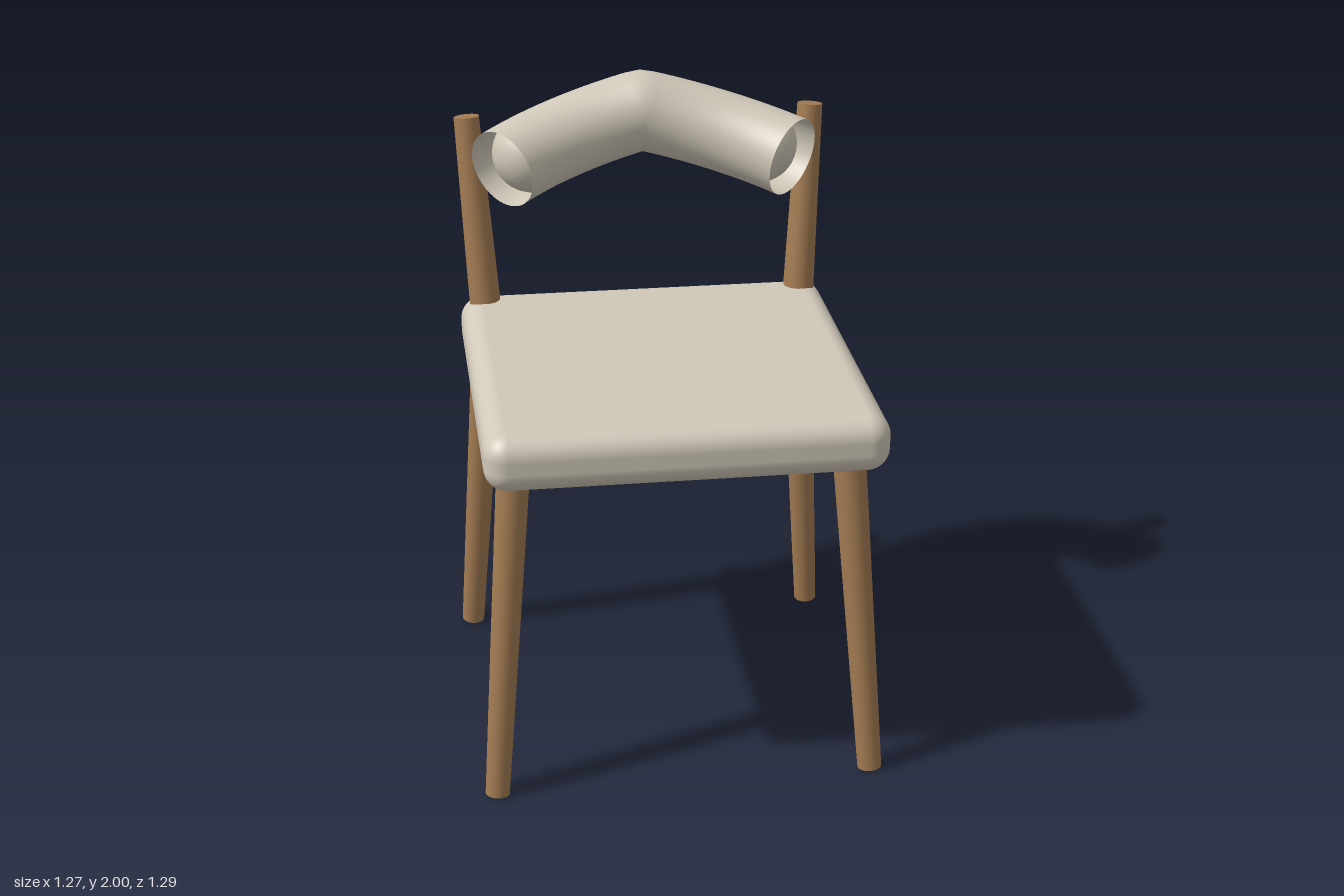
import * as THREE from 'three';
import { RoundedBoxGeometry } from 'three/addons/geometries/RoundedBoxGeometry.js';

// Centre line of the backrest: an arc in plan that falls evenly from the middle to both ends
class BackrestCurve extends THREE.Curve {
  getPoint(t, target = new THREE.Vector3()) {
    const R = 0.69, a = (t * 2 - 1) * 0.742;
    const x = R * Math.sin(a);
    return target.set(x, 1.872 - 0.26 * Math.abs(x), 0.17 - R * Math.cos(a));
  }
}

export function createModel() {
  const group = new THREE.Group();
  const wood = new THREE.MeshStandardMaterial({ color: 0xa27b52 });
  wood.name = 'wood';
  const fabric = new THREE.MeshStandardMaterial({ color: 0xd0c8b8, side: THREE.DoubleSide });
  fabric.name = 'fabric';

  const add = (name, geometry, material) => {
    const mesh = new THREE.Mesh(geometry, material);
    mesh.name = name;
    group.add(mesh);
    return mesh;
  };

  // Tapered round rod between two points
  const rod = (name, from, to, rFrom, rTo) => {
    const a = new THREE.Vector3(...from), b = new THREE.Vector3(...to);
    const dir = b.clone().sub(a);
    const mesh = add(name, new THREE.CylinderGeometry(rTo, rFrom, dir.length(), 32), wood);
    mesh.position.copy(a).add(b).multiplyScalar(0.5);
    mesh.quaternion.setFromUnitVectors(new THREE.Vector3(0, 1, 0), dir.normalize());
  };

  // Splayed legs and back posts
  for (const [side, s] of [['left', 1], ['right', -1]]) {
    rod(side + 'FrontLeg', [0.592 * s, 0.005, 0.543], [0.503 * s, 1.16, 0.447], 0.038, 0.052);
    rod(side + 'BackLeg', [0.598 * s, 0.005, -0.592], [0.52 * s, 1.16, -0.481], 0.038, 0.052);
    rod(side + 'BackPost', [0.52 * s, 1.16, -0.481], [0.563 * s, 1.86, -0.562], 0.052, 0.041);
  }

  // Frame under the seat
  const frame = add('seatFrame', new THREE.BoxGeometry(1.0, 0.08, 0.93), wood);
  frame.position.set(0, 1.063, -0.017);

  // Seat cushion
  const seat = add('seat', new RoundedBoxGeometry(1.21, 0.18, 1.215, 6, 0.07), fabric);
  seat.position.set(0, 1.165, 0.0375);

  // Curved padded backrest with a domed filling set inside each open end
  const curve = new BackrestCurve(), r = 0.129;
  add('backrest', new THREE.TubeGeometry(curve, 64, r, 40, false), fabric);
  const inset = r / curve.getLength();
  for (const [side, u] of [['left', 1 - inset], ['right', inset]]) {
    const dome = add(side + 'BackrestEnd', new THREE.SphereGeometry(r * 0.98, 32, 20), fabric);
    dome.position.copy(curve.getPointAt(u));
  }
  return group;
}
